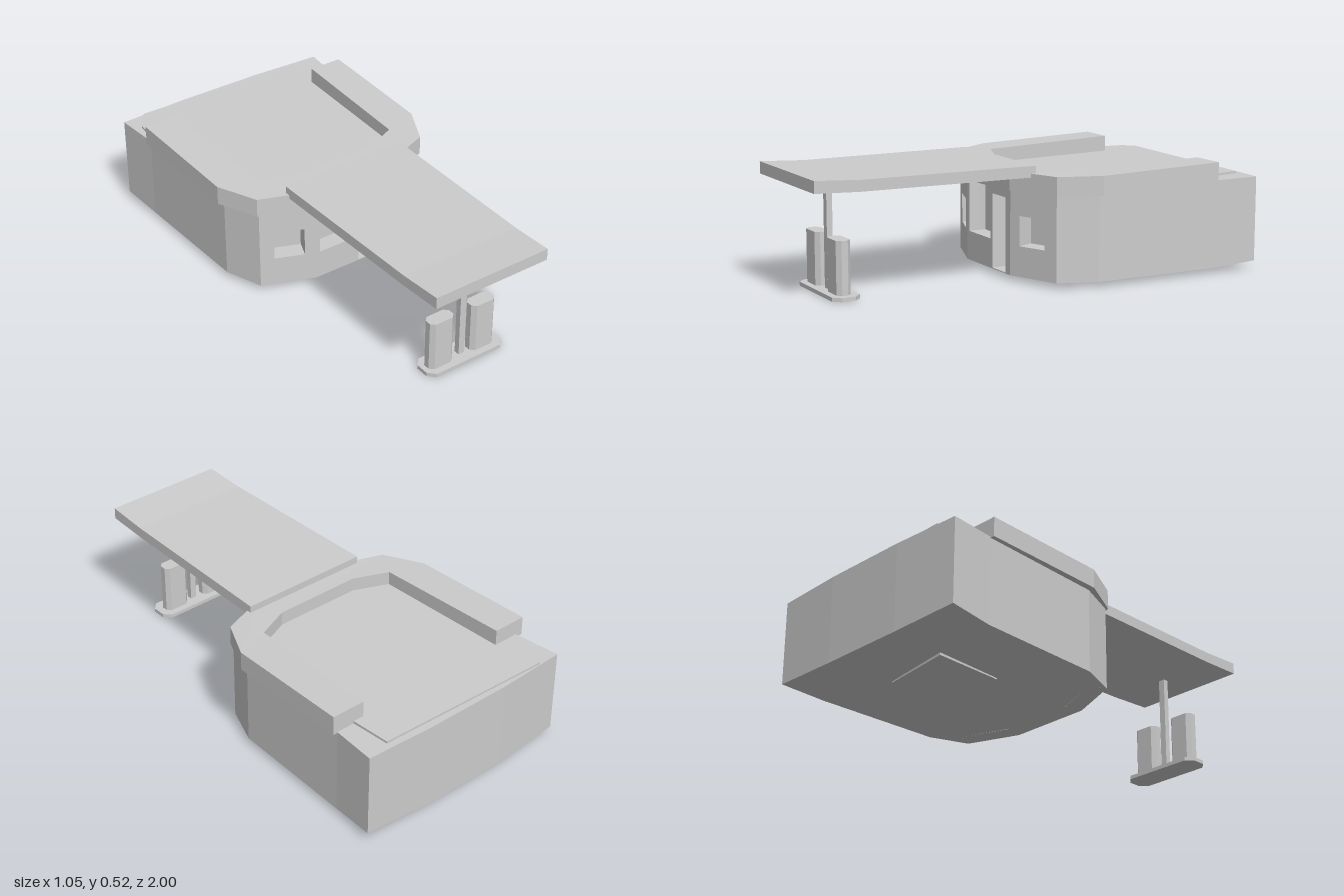
import * as THREE from 'three';

const grey = new THREE.MeshStandardMaterial({ color: 0xcccccc, flatShading: true });
grey.name = 'plain grey';

const add = (parent, name, geometry) => {
  const mesh = new THREE.Mesh(geometry, grey);
  mesh.name = name;
  parent.add(mesh);
  return mesh;
};

// Mirror a half outline of [x, z] points (front to back) into a closed loop
const mirrored = (half) => [...half, ...half.map(([x, z]) => [-x, z]).reverse()];

// Upright prism over an [x, z] outline; heights may vary with x and z
function prism(outline, bottom, top) {
  const shape = new THREE.Shape(outline.map(([x, z]) => new THREE.Vector2(x, -z)));
  const g = new THREE.ExtrudeGeometry(shape, { depth: 1, bevelEnabled: false });
  g.rotateX(-Math.PI / 2);
  const p = g.attributes.position;
  const at = (h, x, z) => (typeof h === 'function' ? h(x, z) : h);
  for (let i = 0; i < p.count; i++) {
    const x = p.getX(i), z = p.getZ(i);
    p.setY(i, at(p.getY(i) > 0.5 ? top : bottom, x, z));
  }
  g.computeVertexNormals();
  return g;
}

// Front wall panel between two [x, z] points with holes [u0, y0, u1, y1]
const DEPTH = 0.08;
function panel(a, b, holes) {
  const dx = b[0] - a[0], dz = b[1] - a[1], w = Math.hypot(dx, dz);
  const rect = (T, x0, y0, x1, y1) => new T([[x0, y0], [x1, y0], [x1, y1], [x0, y1]]
    .map(([x, y]) => new THREE.Vector2(x, y)));
  const shape = rect(THREE.Shape, 0, 0.022, w, 0.396);
  shape.holes = holes.map((h) => rect(THREE.Path, ...h));
  const g = new THREE.ExtrudeGeometry(shape, { depth: DEPTH, bevelEnabled: false });
  g.translate(0, 0, -DEPTH);
  g.rotateY(Math.atan2(-dz, dx));
  g.translate(a[0], 0, a[1]);
  return g;
}

function createModel() {
  const model = new THREE.Group();
  model.name = 'fuelStation';

  // Shop: main block, notched at the front to take the wall panels
  const shop = new THREE.Group();
  shop.name = 'shop';
  model.add(shop);
  const block = mirrored([
    [0.161, -0.018], [0.391, -0.1045], [0.42, -0.03], [0.485, -0.2],
    [0.505, -0.78], [0.523, -0.985], [0.2, -1],
  ]);
  const floorY = (x, z) => 0.022 + (z < -0.9 && Math.abs(x) > 0.4 ? 0.015 : 0);
  add(shop, 'shopBlock', prism(block, floorY, (x, z) => 0.396 - 0.016 * Math.min(z, 0)));

  // Front walls with two side windows, a large window and a door
  add(shop, 'frontWall', panel([-0.19, 0.06], [0.19, 0.06], [
    [0.02, 0.152, 0.208, 0.381],
    [0.226, 0.026, 0.338, 0.354],
  ]));
  add(shop, 'leftFrontWall', panel([0.19, 0.06], [0.42, -0.03], [[0.05, 0.155, 0.184, 0.286]]));
  add(shop, 'rightFrontWall', panel([-0.42, -0.03], [-0.19, 0.06], [[0.063, 0.155, 0.197, 0.286]]));

  // Plate under the floor
  add(shop, 'floorPlate', prism([[-0.17, -0.42], [0.16, -0.4], [0.16, -0.7], [-0.18, -0.74]], 0.018, 0.03));

  // Roof deck inside the parapet
  add(shop, 'roofDeck', prism([
    [-0.3, -0.03], [0.3, -0.03], [0.42, -0.2], [0.42, -0.78], [0.41, -0.96],
    [-0.42, -0.985], [-0.48, -0.9], [-0.49, -0.78], [-0.42, -0.2],
  ], 0.39, (x, z) => 0.415 - 0.006 * z));

  // U-shaped parapet, rising slightly towards its back ends
  const parapet = [
    [-0.525, -0.78], [-0.515, -0.2], [-0.43, -0.025], [-0.19, 0.065],
    [0.19, 0.065], [0.43, -0.025], [0.515, -0.2], [0.525, -0.78],
    [0.37, -0.78], [0.353, -0.15], [0.2, -0.085], [-0.2, -0.085], [-0.353, -0.15], [-0.37, -0.78],
  ];
  add(shop, 'parapet', prism(parapet,
    (x, z) => 0.39 - 0.018 * Math.min(z, 0),
    (x, z) => 0.475 - 0.02 * Math.min(z, 0)));

  // Canopy: side profile swept across, narrowing and kicking up at the front
  const profile = [[0, 0.458], [0.8, 0.465], [1, 0.473], [1, 0.525], [0.8, 0.513], [0, 0.507]];
  const canopy = new THREE.ExtrudeGeometry(
    new THREE.Shape(profile.map(([z, y]) => new THREE.Vector2(z, y))),
    { depth: 0.6, bevelEnabled: false });
  canopy.translate(0, 0, -0.3);
  canopy.rotateY(-Math.PI / 2);
  const p = canopy.attributes.position;
  for (let i = 0; i < p.count; i++) p.setX(i, p.getX(i) * (1 - 0.07 * p.getZ(i)));
  canopy.computeVertexNormals();
  add(model, 'canopy', canopy);

  // Pump island with its post and two pumps
  const island = new THREE.Group();
  island.name = 'pumpIsland';
  island.position.z = 0.818;
  model.add(island);
  add(island, 'islandBase', prism(mirrored([
    [0.165, 0.062], [0.195, 0.03], [0.195, -0.03], [0.165, -0.062],
  ]), 0, 0.017));
  add(island, 'canopyPost', new THREE.BoxGeometry(0.03, 0.46, 0.026)).position.y = 0.24;
  const pump = mirrored([[0.042, 0.032], [0.06, 0.014], [0.06, -0.014], [0.042, -0.032]]);
  for (const side of [1, -1]) {
    const mesh = add(island, side > 0 ? 'leftPump' : 'rightPump', prism(pump, 0.012, 0.245));
    mesh.position.x = side > 0 ? 0.1 : -0.112;
  }
  return model;
}

export { createModel };
